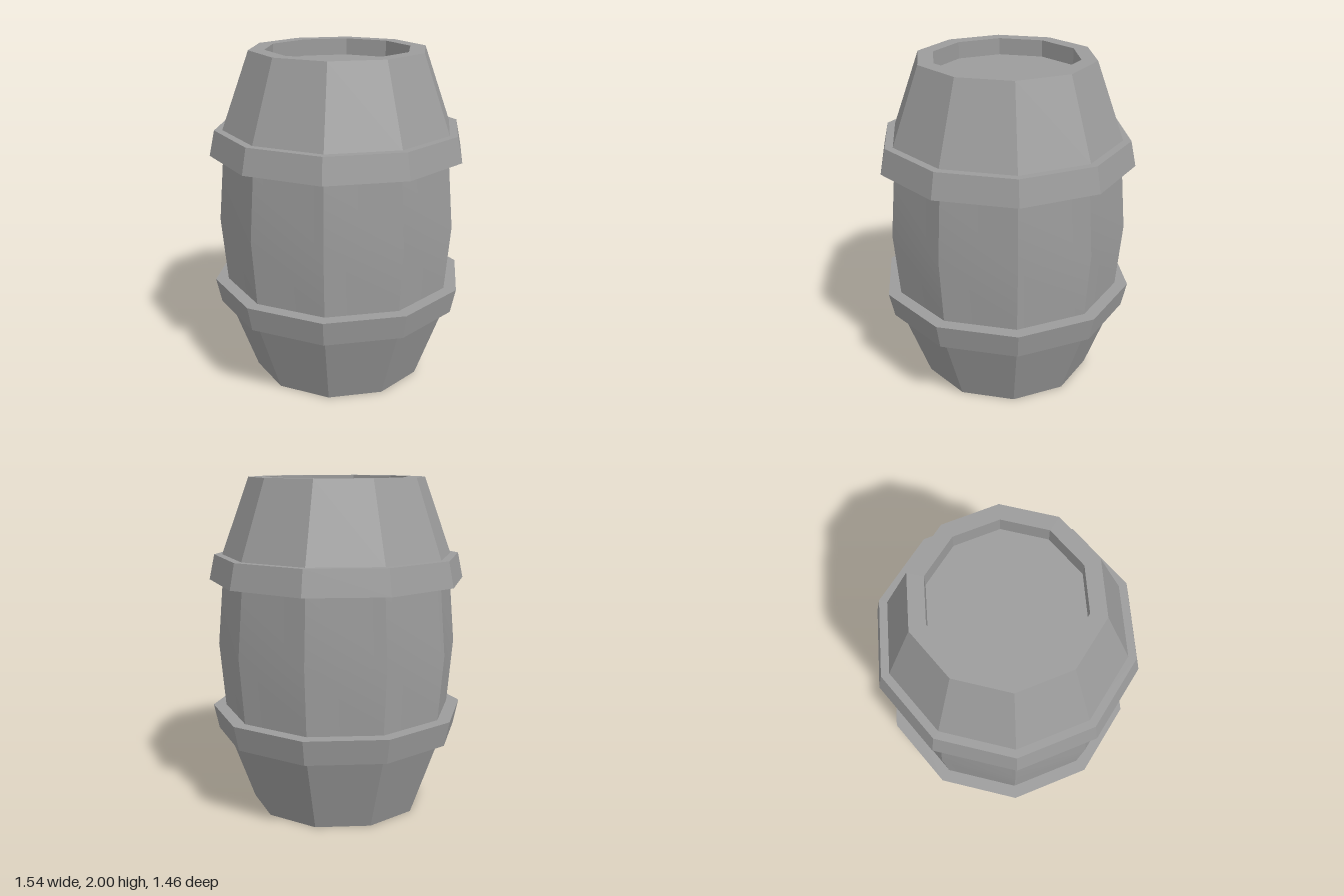
import * as THREE from 'three';
import { toCreasedNormals } from 'three/addons/utils/BufferGeometryUtils.js';

const SIDES = 10;

// Ten-sided turned part with a corner on the x axis; profile is [radius, y] going up the outside
function turned(name, profile) {
  const points = profile.map(([r, y]) => new THREE.Vector2(r, y));
  const lathe = new THREE.LatheGeometry(points, SIDES, Math.PI / SIDES);
  const geometry = toCreasedNormals(lathe, THREE.MathUtils.degToRad(15));
  const mesh = new THREE.Mesh(geometry, new THREE.MeshStandardMaterial({ color: 0x9c9c9c }));
  mesh.name = name;
  return mesh;
}

// Hoop with a slanted outer face, closed against the staves
function hoop(name, y0, y1, r0, r1) {
  const inner = 0.66;
  return turned(name, [[inner, y0], [r0, y0], [r1, y1], [inner, y1], [inner, y0]]);
}

export function createModel() {
  const barrel = new THREE.Group();
  barrel.name = 'barrel';

  // Bulging body with a recessed head at each end, nearly upright under the hoops
  const lower = [[0, 0.1], [0.432, 0.1], [0.432, 0], [0.525, 0], [0.692, 0.46], [0.692, 0.61], [0.725, 1]];
  const upper = lower.slice(0, -1).reverse().map(([r, y]) => [r, 2 - y]);
  barrel.add(turned('body', [...lower, ...upper]));

  // Two hoops, each widest on the side facing the middle
  barrel.add(hoop('lowerHoop', 0.46, 0.61, 0.738, 0.77));
  barrel.add(hoop('upperHoop', 1.395, 1.545, 0.77, 0.738));

  return barrel;
}
